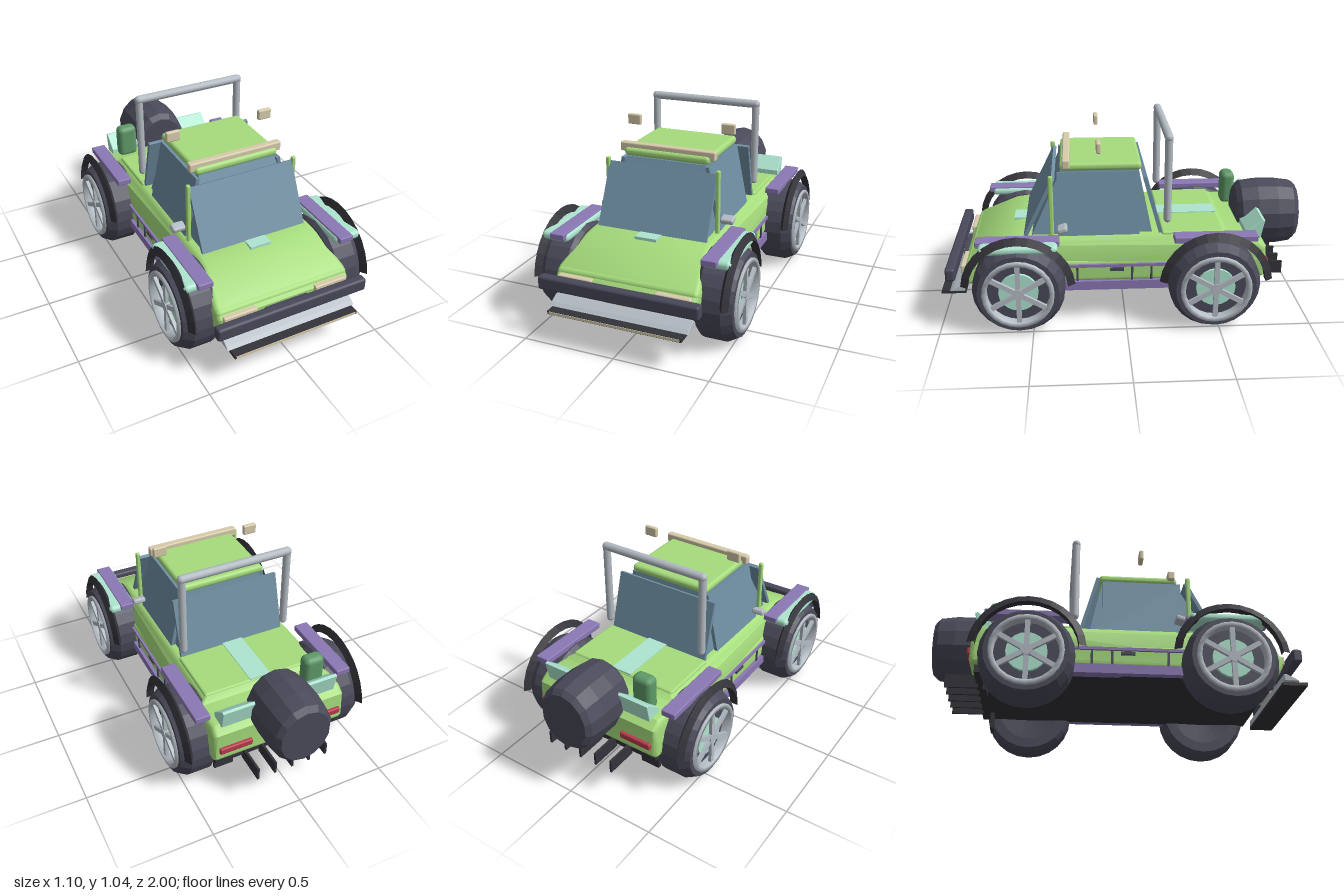
import * as THREE from 'three';
import { RoundedBoxGeometry } from 'three/addons/geometries/RoundedBoxGeometry.js';
import { toCreasedNormals } from 'three/addons/utils/BufferGeometryUtils.js';

const mat = (color, extra = {}) => new THREE.MeshStandardMaterial({ color, ...extra });
const M = {
  green: mat(0xa6dc7c), moss: mat(0x5f9a68), glass: mat(0x6f8fa3), purple: mat(0x8b78b4),
  mint: mat(0xaee6d0), rubber: mat(0x4a4a5a, { flatShading: true }), black: mat(0x33333a, { flatShading: true }),
  dark: mat(0x48485a), steel: mat(0xb4bcc4), beige: mat(0xd8ccac), red: mat(0xb83c4c),
};

export function createModel() {
  const root = new THREE.Group();

  const add = (name, geo, m, parent = root) => {
    const mesh = new THREE.Mesh(geo, m);
    mesh.name = name;
    parent.add(mesh);
    return mesh;
  };
  // Box given by its limits, optionally rounded
  const box = (name, m, [x0, x1], [y0, y1], [z0, z1], r = 0, parent = root) => {
    const s = [x1 - x0, y1 - y0, z1 - z0];
    const b = add(name, r ? new RoundedBoxGeometry(...s, 2, r) : new THREE.BoxGeometry(...s), m, parent);
    b.position.set((x0 + x1) / 2, (y0 + y1) / 2, (z0 + z1) / 2);
    return b;
  };
  // Same box on both sides
  const pair = (name, m, [x0, x1], y, z, r = 0) => {
    box(name + 'Left', m, [x0, x1], y, z, r);
    box(name + 'Right', m, [-x1, -x0], y, z, r);
  };
  // Side outline (z, y) extruded across the width
  const slab = (pts, half, bevel) => {
    const shape = new THREE.Shape(pts.map(([z, y]) => new THREE.Vector2(z, y)));
    const depth = 2 * (half - bevel);
    return new THREE.ExtrudeGeometry(shape, {
      depth, bevelEnabled: bevel > 0, bevelThickness: bevel, bevelSize: bevel, bevelOffset: -bevel, bevelSegments: 3,
    }).translate(0, 0, -depth / 2).rotateY(-Math.PI / 2);
  };

  // Body, narrowing towards the deck
  const body = slab([[0.85, 0.23], [0.87, 0.27], [0.87, 0.32], [0.83, 0.365], [0.62, 0.465], [0.55, 0.475],
    [-0.54, 0.48], [-0.57, 0.455], [-0.72, 0.45], [-0.765, 0.41], [-0.77, 0.26], [-0.74, 0.23]], 0.385, 0.025);
  const p = body.attributes.position;
  for (let i = 0; i < p.count; i++) {
    const t = Math.max(0, (p.getY(i) - 0.36) / 0.115);
    const rear = p.getZ(i) < -0.56 ? 0.2 : 1;
    p.setX(i, p.getX(i) * (1 - 0.13 * t * rear));
  }
  add('body', toCreasedNormals(body, 0.6), M.green);
  box('lowerBody', M.green, [-0.385, 0.385], [0.23, 0.36], [-0.765, 0.855], 0.025);
  box('underTray', M.black, [-0.36, 0.36], [0.19, 0.24], [-0.74, 0.82]);
  box('rearDeck', M.green, [-0.325, 0.325], [0.46, 0.49], [-0.54, -0.2], 0.012);
  box('rearDeckStripe', M.mint, [-0.06, 0.06], [0.47, 0.494], [-0.535, -0.2]);
  box('cowlStripe', M.mint, [-0.06, 0.06], [0.46, 0.482], [0.5, 0.61]);

  // Cab: tapered core, sloping panes and roof
  const core = new THREE.BoxGeometry(1, 0.34, 1);
  const c = core.attributes.position;
  for (let i = 0; i < c.count; i++) {
    const top = c.getY(i) > 0;
    c.setX(i, Math.sign(c.getX(i)) * (top ? 0.225 : 0.29));
    c.setZ(i, c.getZ(i) > 0 ? (top ? 0.34 : 0.5) : (top ? -0.08 : -0.15));
  }
  core.computeVertexNormals();
  add('cabCore', core, M.glass).position.y = 0.645;
  const pane = (name, width, bottom, top) => {
    const [z0, y0] = bottom, [z1, y1] = top;
    const g = add(name, new THREE.BoxGeometry(width, Math.hypot(z1 - z0, y1 - y0), 0.02), M.glass);
    g.position.set(0, (y0 + y1) / 2, (z0 + z1) / 2);
    g.rotation.x = Math.atan2(z1 - z0, y1 - y0);
  };
  pane('windscreen', 0.61, [0.535, 0.475], [0.38, 0.79]);
  pane('rearWindow', 0.62, [-0.195, 0.48], [-0.105, 0.8]);
  for (const s of [1, -1]) {
    const w = add(s > 0 ? 'sideWindowLeft' : 'sideWindowRight', new THREE.BoxGeometry(0.02, 0.345, 0.44), M.glass);
    w.position.set(s * 0.273, 0.642, 0.14);
    w.rotation.z = s * 0.2;
  }
  box('roof', M.green, [-0.243, 0.243], [0.815, 0.86], [-0.095, 0.345], 0.02);
  pair('windscreenPost', M.green, [0.3, 0.323], [0.46, 0.815], [0.38, 0.405], 0.008);
  box('roofLightBar', M.beige, [-0.27, 0.27], [0.835, 0.885], [0.29, 0.33], 0.008);
  pair('spotLight', M.beige, [0.235, 0.313], [0.932, 0.99], [0.125, 0.15], 0.008);

  // Roll bar
  const barZ = -0.23;
  const bar = add('rollBarTop', new THREE.CapsuleGeometry(0.023, 0.614, 4, 12).rotateZ(Math.PI / 2), M.steel);
  bar.position.set(0, 1.013, barZ);
  for (const s of [1, -1]) {
    const leg = add(s > 0 ? 'rollBarLegLeft' : 'rollBarLegRight', new THREE.CapsuleGeometry(0.021, 0.44, 4, 12), M.steel);
    leg.position.set(s * 0.306, 0.78, barZ);
    const mirror = add(s > 0 ? 'mirrorLeft' : 'mirrorRight', new RoundedBoxGeometry(0.075, 0.032, 0.055, 2, 0.012), M.steel);
    mirror.position.set(s * 0.347, 0.532, 0.335);
    mirror.rotation.x = 0.3;
  }

  // Fenders and side trim
  pair('frontFender', M.mint, [0.36, 0.515], [0.455, 0.503], [0.36, 0.77], 0.022);
  pair('frontFenderStrip', M.purple, [0.37, 0.452], [0.475, 0.508], [0.35, 0.79], 0.006);
  pair('rearFenderStrip', M.purple, [0.37, 0.452], [0.475, 0.51], [-0.7, -0.255], 0.006);
  pair('sill', M.purple, [0.34, 0.4], [0.19, 0.24], [-0.27, 0.38]);
  pair('sideRail', M.purple, [0.37, 0.397], [0.322, 0.338], [-0.26, 0.36]);
  [0.26, -0.035, -0.14].forEach((z) => pair('doorGap', M.dark, [0.37, 0.392], [0.24, 0.322], [z - 0.006, z + 0.006]));
  pair('doorHandle', M.dark, [0.37, 0.397], [0.298, 0.315], [0.01, 0.085]);

  // Wheels with spoked rims and arches
  const tire = new THREE.LatheGeometry([[0, -0.08], [0.17, -0.0975], [0.225, -0.0975], [0.245, -0.075], [0.245, 0.045],
    [0.215, 0.0975], [0.19, 0.0975], [0.17, 0.06], [0, 0.06]].map(([r, h]) => new THREE.Vector2(r, h)), 24).rotateZ(-Math.PI / 2);
  const arch = new THREE.TorusGeometry(0.275, 0.026, 3, 14, Math.PI * 0.94).rotateZ(Math.PI * 0.03).rotateY(Math.PI / 2);
  const rim = new THREE.LatheGeometry([[0.165, 0.06], [0.19, 0.085], [0.19, 0.11], [0.165, 0.11], [0.165, 0.06]]
    .map(([r, h]) => new THREE.Vector2(r, h)), 24).rotateZ(-Math.PI / 2);
  const disc = new THREE.CylinderGeometry(0.105, 0.105, 0.02, 20).rotateZ(Math.PI / 2);
  const hub = new THREE.CylinderGeometry(0.03, 0.03, 0.05, 12).rotateZ(Math.PI / 2);
  for (const [end, z] of [['front', 0.57], ['rear', -0.472]]) {
    for (const s of [1, -1]) {
      const wheel = new THREE.Group();
      wheel.name = end + (s > 0 ? 'WheelLeft' : 'WheelRight');
      wheel.position.set(s * 0.4375, 0.245, z);
      wheel.rotation.y = s > 0 ? 0 : Math.PI;
      add('tire', tire, M.rubber, wheel);
      add('rimRing', rim, M.steel, wheel);
      add('brakeDisc', disc, M.mint, wheel).position.x = 0.068;
      add('hub', hub, M.steel, wheel).position.x = 0.08;
      for (let i = 0; i < 6; i++) {
        const spoke = add('spoke', new THREE.BoxGeometry(0.018, 0.16, 0.026).translate(0, 0.095, 0), M.steel, wheel);
        spoke.position.x = 0.092;
        spoke.rotation.x = i * Math.PI / 3;
      }
      root.add(wheel);
      add(end + 'WheelArch', arch, M.black).position.set(s * 0.508, 0.258, z);
    }
  }

  // Front end
  box('frontBumper', M.dark, [-0.432, 0.432], [0.275, 0.348], [0.907, 0.96], 0.014);
  box('winch', M.dark, [-0.125, 0.125], [0.243, 0.31], [0.865, 0.9], 0.008);
  box('numberPlate', M.beige, [-0.1, 0.1], [0.23, 0.26], [0.86, 0.882]);
  pair('headlight', M.beige, [0.17, 0.36], [0.285, 0.335], [0.85, 0.885], 0.008);
  add('skidPlate', slab([[0.87, 0.19], [0.95, 0.19], [0.93, 0.205], [0.885, 0.228], [0.87, 0.228]], 0.375, 0.004), M.steel);
  box('splitter', M.black, [-0.36, 0.36], [0.17, 0.188], [0.865, 0.997]);
  box('splitterEdge', M.beige, [-0.352, 0.352], [0.173, 0.186], [0.99, 1]);

  // Rear end
  const spare = new THREE.LatheGeometry([[0, -0.19], [0.15, -0.19], [0.18, -0.16], [0.193, -0.06], [0.193, 0.06], [0.18, 0.16],
    [0.155, 0.19], [0, 0.19]].map(([r, h]) => new THREE.Vector2(r, h)), 14).rotateX(-Math.PI / 2);
  const s = add('spareWheel', spare, M.rubber);
  s.scale.set(0.89, 1, 0.92);
  s.position.set(0, 0.47, -0.825);
  box('canister', M.moss, [-0.297, -0.18], [0.44, 0.635], [-0.69, -0.61], 0.03);
  add('rearSpoiler', slab([[-0.66, 0.44], [-0.66, 0.48], [-0.745, 0.55], [-0.76, 0.545], [-0.74, 0.44]], 0.33, 0.004), M.mint);
  pair('tailLight', M.red, [0.17, 0.355], [0.293, 0.33], [-0.785, -0.75], 0.008);
  pair('mudFlap', M.black, [0.235, 0.345], [0.1, 0.24], [-0.69, -0.67]);
  for (let i = -2; i <= 2; i++) {
    box('diffuserFin', M.black, [i * 0.1 - 0.006, i * 0.1 + 0.006], [0.165, 0.238], [-0.905, -0.73]);
  }
  return root;
}
